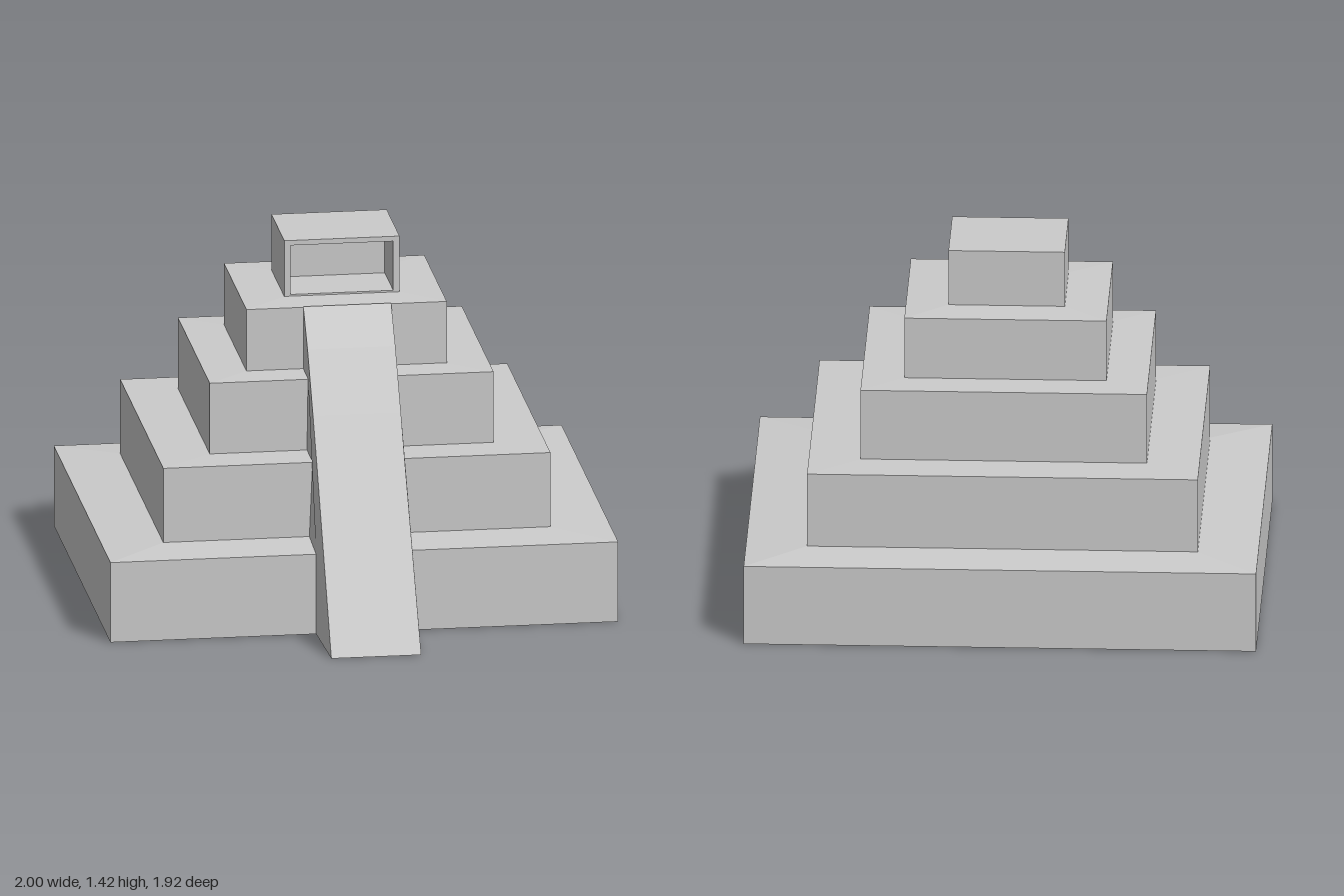
import * as THREE from 'three';

const material = new THREE.MeshStandardMaterial({ color: 0xcccccc, flatShading: true });

// Footprints [left, right, back, front] with base height, rim height and inner ledge height
const tiers = [
  { name: 'baseTier', foot: [-1, 1, -0.96, 0.625], y0: 0, rim: 0.325, ledge: 0.34 },
  { name: 'secondTier', foot: [-0.765, 0.76, -0.773, 0.435], y0: 0.34, rim: 0.642, ledge: 0.645 },
  { name: 'thirdTier', foot: [-0.56, 0.558, -0.612, 0.278], y0: 0.645, rim: 0.933, ledge: 0.937 },
  { name: 'topTier', foot: [-0.397, 0.392, -0.482, 0.147], y0: 0.937, rim: 1.187, ledge: 1.193 },
];
const shrineFoot = [-0.229, 0.225, -0.348, 0.012];

// Flat-faced solid through a stack of rectangular rings, closed at both ends
function ringLoft(rings) {
  const corners = rings.map(([[l, r, b, f], y]) => [[l, y, f], [r, y, f], [r, y, b], [l, y, b]]);
  const pos = [];
  const quad = (a, b, c, d) => pos.push(...a, ...b, ...c, ...a, ...c, ...d);
  for (let i = 0; i + 1 < corners.length; i++) {
    const lo = corners[i], hi = corners[i + 1];
    for (let k = 0; k < 4; k++) {
      const n = (k + 1) % 4;
      quad(lo[k], lo[n], hi[n], hi[k]);
    }
  }
  const first = corners[0], last = corners[corners.length - 1];
  quad(first[3], first[2], first[1], first[0]);
  quad(...last);
  const geo = new THREE.BufferGeometry();
  geo.setAttribute('position', new THREE.Float32BufferAttribute(pos, 3));
  geo.computeVertexNormals();
  return geo;
}

function rectPath(path, l, b, r, t) {
  path.moveTo(l, b);
  path.lineTo(r, b);
  path.lineTo(r, t);
  path.lineTo(l, t);
  path.closePath();
  return path;
}

function addMesh(parent, name, geometry) {
  const mesh = new THREE.Mesh(geometry, material);
  mesh.name = name;
  parent.add(mesh);
  return mesh;
}

// Stairway ramp: side profile extruded across x, flaring slightly where it meets the tiers
function rampGeometry() {
  const profile = [
    [0.96, 0], [0.52, 0.67], [0.42, 0.825], [0.265, 1.05], [0.147, 1.19],
    [0.147, 0.935], [0.278, 0.935], [0.278, 0.644], [0.435, 0.644],
    [0.435, 0.335], [0.625, 0.325], [0.625, 0],
  ];
  const shape = new THREE.Shape(profile.map(([z, y]) => new THREE.Vector2(-z, y)));
  const geo = new THREE.ExtrudeGeometry(shape, { depth: 2, bevelEnabled: false });
  geo.translate(0, 0, -1).rotateY(Math.PI / 2);
  const p = geo.attributes.position;
  for (let i = 0; i < p.count; i++) {
    const y = p.getY(i), z = p.getZ(i);
    const half = z < 0.63 && z > 0.43 && y < 0.4 ? 0.19 : y < 0.65 ? 0.177 : 0.173;
    p.setX(i, Math.sign(p.getX(i)) * half);
  }
  geo.computeVertexNormals();
  return geo;
}

export function createModel() {
  const model = new THREE.Group();
  model.name = 'steppedPyramid';

  // Stacked tiers, each top rising gently towards the next one
  tiers.forEach((t, i) => {
    const next = i + 1 < tiers.length ? tiers[i + 1].foot : shrineFoot;
    addMesh(model, t.name, ringLoft([[t.foot, t.y0], [t.foot, t.rim], [next, t.ledge]]));
  });

  addMesh(model, 'stairRamp', rampGeometry());

  // Shrine: hollow room open to the front, closed by a back wall
  const shrine = new THREE.Group();
  shrine.name = 'shrine';
  model.add(shrine);
  const [l, r, back, front] = shrineFoot, floor = 1.19, roof = 1.42, roomBack = -0.225;
  const frame = rectPath(new THREE.Shape(), l, floor, r, roof);
  frame.holes.push(rectPath(new THREE.Path(), -0.205, 1.2, 0.2, 1.4));
  const walls = new THREE.ExtrudeGeometry(frame, { depth: front - roomBack, bevelEnabled: false });
  addMesh(shrine, 'shrineWalls', walls.translate(0, 0, roomBack));
  const rear = new THREE.BoxGeometry(r - l, roof - floor, roomBack - back);
  addMesh(shrine, 'shrineBackWall', rear)
    .position.set((l + r) / 2, (floor + roof) / 2, (roomBack + back) / 2);

  return model;
}
